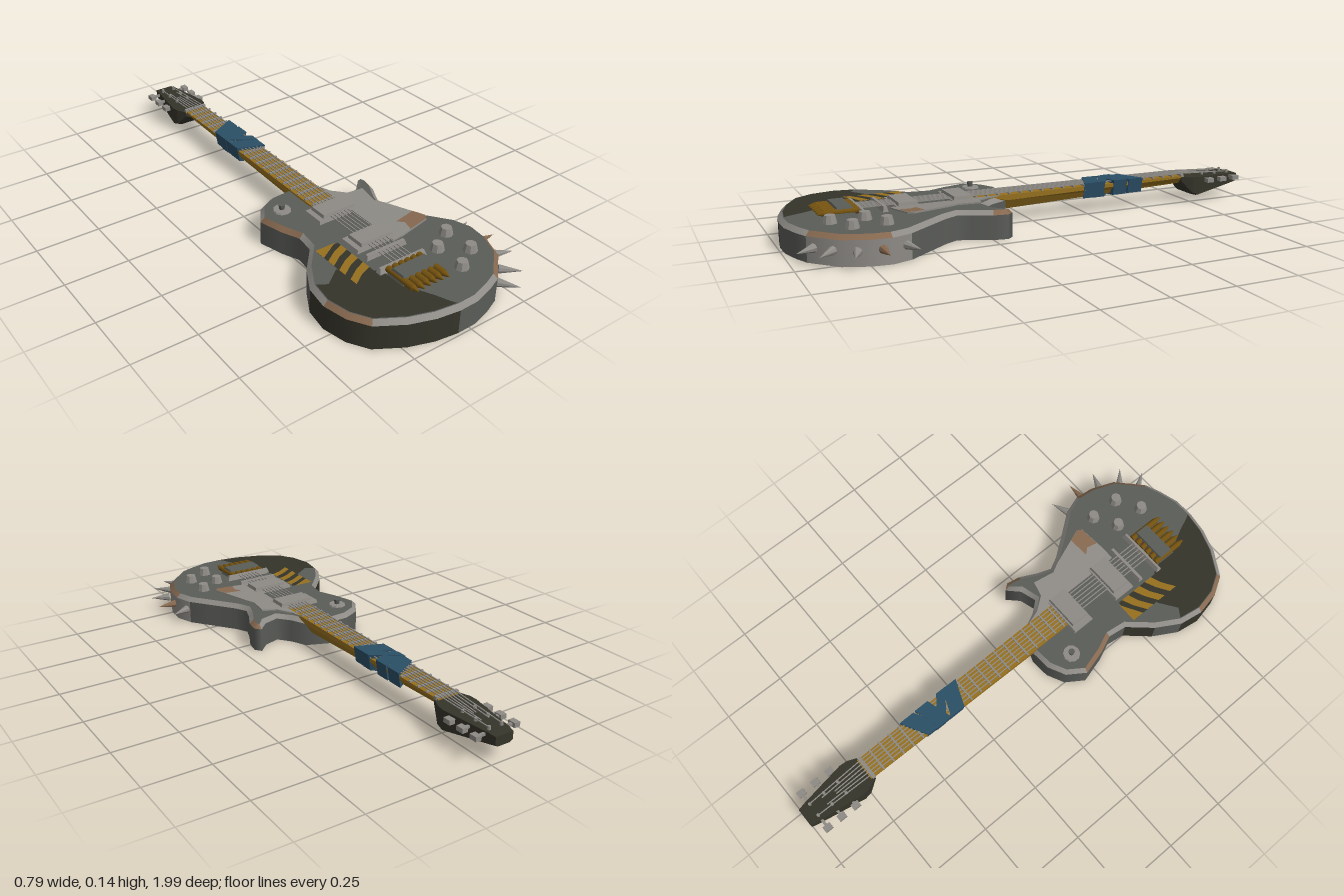
import * as THREE from 'three';

const mat = (name, color, side = THREE.FrontSide) => {
  const m = new THREE.MeshStandardMaterial({ color, side });
  m.name = name;
  return m;
};
const grey = mat('body grey', 0x5a5c58), olive = mat('dark olive', 0x35342a);
const steel = mat('worn steel', 0x8e8b86), rust = mat('rust brown', 0x86684f);
const gold = mat('dull gold', 0x96701f), brass = mat('dark brass', 0x74520f);
const blue = mat('blue tape', 0x2b4f66);

// Body outline (x, z), starting at the neck and going round by the model's right side
const OUTLINE = [
  [-0.10, 0.08], [-0.18, 0.085], [-0.25, 0.12], [-0.297, 0.19], [-0.27, 0.29], [-0.24, 0.36],
  [-0.25, 0.435], [-0.33, 0.525], [-0.385, 0.62], [-0.4, 0.715], [-0.38, 0.81], [-0.335, 0.885],
  [-0.235, 0.945], [-0.14, 0.977], [-0.05, 0.99], [0.03, 0.988], [0.11, 0.965], [0.17, 0.94],
  [0.27, 0.845], [0.307, 0.75], [0.315, 0.675], [0.29, 0.6], [0.23, 0.52], [0.16, 0.425],
  [0.135, 0.375], [0.155, 0.32], [0.19, 0.25], [0.2, 0.195], [0.18, 0.17], [0.135, 0.215],
  [0.07, 0.235], [0.03, 0.185], [0, 0.12],
];
const N = OUTLINE.length;
const NORMALS = OUTLINE.map((p, i) => {
  const edge = (a, b) => new THREE.Vector2(a[1] - b[1], b[0] - a[0]).normalize();
  return edge(OUTLINE[(i + N - 1) % N], p).add(edge(p, OUTLINE[(i + 1) % N])).normalize();
});
const inset = (d) => OUTLINE.map(([x, z], i) => [x - NORMALS[i].x * d, z - NORMALS[i].y * d]);

function add(group, name, geometry, material, x = 0, y = 0, z = 0) {
  const m = new THREE.Mesh(geometry, material);
  m.name = name;
  m.position.set(x, y, z);
  group.add(m);
  return m;
}
const box = (w, h, d) => new THREE.BoxGeometry(w, h, d);
const flat = (g) => {
  const f = g.toNonIndexed();
  f.computeVertexNormals();
  return f;
};
// Flat face or plate from (x, z) points
const shapeOf = (pts) => new THREE.Shape(pts.map(([x, z]) => new THREE.Vector2(x, -z)));
const face = (pts) => new THREE.ShapeGeometry(shapeOf(pts)).rotateX(-Math.PI / 2);
const plate = (pts, t) =>
  new THREE.ExtrudeGeometry(shapeOf(pts), { depth: t, bevelEnabled: false }).rotateX(-Math.PI / 2);
const underFace = (pts) =>
  new THREE.ShapeGeometry(new THREE.Shape(pts.map(([x, z]) => new THREE.Vector2(x, z)))).rotateX(Math.PI / 2);

// Ring of quads between two loops, with a material index for each segment
function ring(lower, y0, upper, y1, lift, pick) {
  const pos = [], nor = [], g = new THREE.BufferGeometry();
  for (let i = 0; i < N; i++) {
    const j = (i + 1) % N;
    for (const [k, top] of [[i, 0], [j, 0], [j, 1], [i, 0], [j, 1], [i, 1]]) {
      const p = top ? upper[k] : lower[k];
      pos.push(p[0], top ? y1 : y0, p[1]);
      const n = new THREE.Vector3(NORMALS[k].x, lift, NORMALS[k].y).normalize();
      nor.push(n.x, n.y, n.z);
    }
    g.addGroup(i * 6, 6, pick(i));
  }
  g.setAttribute('position', new THREE.Float32BufferAttribute(pos, 3));
  g.setAttribute('normal', new THREE.Float32BufferAttribute(nor, 3));
  return g;
}

function buildBody() {
  const g = new THREE.Group();
  g.name = 'body';
  const top = inset(0.017);
  const side = (i) => (i === 6 || (i >= 8 && i <= 13) ? 1 : i >= 17 && i <= 20 ? 2 : 0);
  add(g, 'bodySide', ring(OUTLINE, 0, OUTLINE, 0.095, 0, side), [grey, olive, steel]);
  const worn = [3, 4, 9, 10, 17, 18, 19, 26, 27];
  add(g, 'bodyRim', ring(OUTLINE, 0.095, top, 0.112, 1, (i) => (worn.includes(i) ? 1 : 0)), [steel, rust]);
  add(g, 'bodyTop', face(top), grey, 0, 0.112);
  add(g, 'bodyBack', underFace(OUTLINE), grey);
  // Dark paint patches on the top and back
  add(g, 'darkPatch', face([...inset(0.02).slice(8, 15), [-0.06, 0.95], [-0.08, 0.9], [-0.13, 0.8],
    [-0.14, 0.7], [-0.2, 0.63], [-0.26, 0.6], [-0.33, 0.65]]), olive, 0, 0.1132);
  add(g, 'backPatch', underFace([[-0.24, 0.36], [-0.25, 0.435], [-0.33, 0.525], [-0.24, 0.53],
    [-0.16, 0.46], [-0.12, 0.38], [-0.16, 0.32], [-0.255, 0.3]]), olive, 0, -0.0008);
  // Warning stripes
  add(g, 'stripePanel', face([[-0.255, 0.48], [-0.255, 0.7], [-0.16, 0.7], [-0.16, 0.48]]), olive, 0, 0.1142);
  for (let i = 0; i < 4; i++) {
    const z = 0.475 + i * 0.062;
    const pts = i === 0
      ? [[-0.255, 0.475], [-0.255, 0.525], [-0.17, 0.475]]
      : [[-0.255, z + 0.012], [-0.255, z + 0.045], [-0.205, z + 0.012], [-0.16, z - 0.005], [-0.16, z - 0.04], [-0.205, z - 0.02]];
    add(g, 'stripe', face(pts), gold, 0, 0.115);
  }
  return g;
}

// Loft of (x, y) loops placed along z
function loft(sections) {
  const pos = [], idx = [], n = sections[0].pts.length;
  sections.forEach((s) => s.pts.forEach(([x, y]) => pos.push(x, y, s.z)));
  for (let s = 0; s < sections.length - 1; s++)
    for (let i = 0; i < n; i++) {
      const a = s * n + i, b = s * n + ((i + 1) % n);
      idx.push(a, b, b + n, a, b + n, a + n);
    }
  const last = (sections.length - 1) * n;
  for (let i = 1; i < n - 1; i++) idx.push(0, i + 1, i, last, last + i, last + i + 1);
  const g = new THREE.BufferGeometry();
  g.setAttribute('position', new THREE.Float32BufferAttribute(pos, 3));
  g.setIndex(idx);
  return flat(g);
}

function buildNeck() {
  const g = new THREE.Group();
  g.name = 'neck';
  g.position.x = -0.048;
  const cut = (z, w, top, bottom) => ({
    z, pts: [[-w, top], [-w, (top + bottom) / 2 + 0.008], [-w * 0.55, bottom], [w * 0.55, bottom],
      [w, (top + bottom) / 2 + 0.008], [w, top]],
  });
  add(g, 'neckBar', loft([cut(-0.72, 0.046, 0.115, 0.082), cut(0.1, 0.052, 0.119, 0.058), cut(0.262, 0.053, 0.12, 0.1)]), gold);
  for (let i = 0; i < 20; i++) add(g, 'fret', box(0.1, 0.006, 0.007), steel, 0, 0.119 + i * 0.0002, -0.66 + i * 0.0475);
  add(g, 'nut', box(0.1, 0.014, 0.014), steel, 0, 0.116, -0.708);
  // Headstock
  const head = (z, w, top, bottom) => ({ z, pts: [[-w, top], [-w, bottom + 0.008], [-w * 0.7, bottom],
    [w * 0.7, bottom], [w, bottom + 0.008], [w, top]] });
  add(g, 'headstock', loft([head(-1, 0.038, 0.1, 0.062), head(-0.97, 0.044, 0.104, 0.056), head(-0.78, 0.073, 0.109, 0.025),
    head(-0.75, 0.07, 0.11, 0.034), head(-0.705, 0.05, 0.111, 0.085)]), olive);
  // Tuners
  for (const s of [-1, 1])
    for (let i = 0; i < 3; i++) {
      const z = -0.955 + i * 0.065, y = 0.094;
      add(g, 'tunerStem', box(0.05, 0.01, 0.01), steel, s * 0.062, y, z);
      add(g, 'tunerKey', box(0.024, 0.018, 0.032), steel, s * 0.084, y, z);
      add(g, 'tunerPost', new THREE.CylinderGeometry(0.006, 0.007, 0.014, 6), steel, s * 0.027, 0.111, z);
    }
  // Strings
  const string = (a, b) => {
    const d = new THREE.Vector3().subVectors(b, a);
    const m = add(g, 'string', box(0.004, 0.003, d.length()), steel);
    m.position.addVectors(a, b).multiplyScalar(0.5);
    m.quaternion.setFromUnitVectors(new THREE.Vector3(0, 0, 1), d.normalize());
  };
  for (let i = 0; i < 6; i++) {
    const t = i - 2.5, nut = new THREE.Vector3(t * 0.014, 0.124, -0.708);
    string(nut, new THREE.Vector3(t * 0.0165, 0.128, 0.7));
    string(new THREE.Vector3(t * 0.011, 0.112, -0.955 + Math.min(i, 5 - i) * 0.05), nut);
  }
  // Tape wrapped around the neck
  for (const [z, slope, w, e] of [[-0.445, -0.55, 0.066, 0], [-0.385, -0.3, 0.062, 0.002],
    [-0.285, 0.4, 0.066, 0.003], [-0.345, 0.75, 0.045, 0.005]]) {
    const b = box(0.106 + e, 0.062 + e, w), p = b.attributes.position;
    for (let i = 0; i < p.count; i++) {
      p.setZ(i, p.getZ(i) + slope * p.getX(i));
      if (p.getY(i) < 0) p.setX(i, p.getX(i) * 0.8);
    }
    add(g, 'tapeBand', flat(b), blue, 0, 0.098, z);
  }
  return g;
}

// Box with a narrower top
function taperBox(w, h, d, k) {
  const g = box(w, h, d), p = g.attributes.position;
  for (let i = 0; i < p.count; i++)
    if (p.getY(i) > 0) {
      p.setX(i, p.getX(i) - Math.sign(p.getX(i)) * k);
      p.setZ(i, p.getZ(i) - Math.sign(p.getZ(i)) * k);
    }
  return flat(g);
}

function buildHardware() {
  const g = new THREE.Group();
  g.name = 'hardware';
  // Tilted pickguard with a rusty corner
  const tilt = (geo) => {
    const p = geo.attributes.position;
    for (let i = 0; i < p.count; i++) p.setY(i, p.getY(i) + 0.115 + 0.11 * Math.max(p.getX(i), 0));
    geo.computeVertexNormals();
    return geo;
  };
  add(g, 'pickguard', tilt(plate([[0.004, 0.15], [0.004, 0.59], [0.05, 0.59], [0.172, 0.575], [0.183, 0.555],
    [0.125, 0.4], [0.105, 0.36], [0.12, 0.27], [0.06, 0.255], [0.02, 0.2]], 0.006)), steel);
  add(g, 'pickguardRust', tilt(face([[0.08, 0.515], [0.1, 0.54], [0.09, 0.583], [0.172, 0.574], [0.182, 0.555], [0.165, 0.507]])), rust, 0, 0.007);
  // Pickups
  for (const z of [0.305, 0.525]) {
    add(g, 'pickupFrame', taperBox(0.175, 0.014, 0.098, 0.004), steel, -0.058, 0.118, z);
    add(g, 'pickupCover', taperBox(0.148, 0.02, 0.08, 0.004), steel, -0.048, 0.128, z);
  }
  // Bridge bars, tailpiece and its round-nosed pegs
  add(g, 'bridgeBar', taperBox(0.18, 0.02, 0.022, 0.005), steel, -0.055, 0.121, 0.615);
  add(g, 'tailBar', taperBox(0.212, 0.022, 0.026, 0.008), steel, -0.055, 0.122, 0.702);
  add(g, 'tailpiece', taperBox(0.166, 0.032, 0.08, 0.012), grey, -0.055, 0.128, 0.764);
  for (let i = 0; i < 6; i++) {
    const x = -0.124 + i * 0.0275;
    add(g, 'pegShell', new THREE.CylinderGeometry(0.0125, 0.0125, 0.13, 8).rotateX(Math.PI / 2), brass, x, 0.126, 0.775);
    add(g, 'pegTip', new THREE.CylinderGeometry(0.003, 0.0115, 0.024, 8).rotateX(Math.PI / 2), brass, x, 0.126, 0.852);
  }
  // Knobs and switch
  for (const [x, z] of [[0.101, 0.712], [0.193, 0.658], [0.193, 0.782], [0.098, 0.838]])
    add(g, 'knob', flat(new THREE.CylinderGeometry(0.02, 0.027, 0.03, 8)), steel, x, 0.127, z);
  add(g, 'switchPlate', flat(new THREE.CylinderGeometry(0.033, 0.036, 0.006, 10)), steel, -0.2, 0.115, 0.19);
  add(g, 'switchKnob', flat(new THREE.CylinderGeometry(0.013, 0.01, 0.02, 8)), grey, -0.2, 0.127, 0.19);
  // Spikes along the lower edge
  const spikes = [[0.295, 0.62, 0.373, 0.59], [0.31, 0.708, 0.392, 0.707], [0.3, 0.795, 0.373, 0.822],
    [0.252, 0.868, 0.315, 0.928], [0.193, 0.92, 0.24, 0.99]];
  spikes.forEach(([x0, z0, x1, z1], i) => {
    const d = new THREE.Vector3(x1 - x0, 0, z1 - z0), len = d.length();
    const m = add(g, 'spike', flat(new THREE.ConeGeometry(0.017, len, 8)), i === 1 ? rust : steel,
      (x0 + x1) / 2, 0.057, (z0 + z1) / 2);
    m.quaternion.setFromUnitVectors(new THREE.Vector3(0, 1, 0), d.normalize());
  });
  return g;
}

export function createModel() {
  const model = new THREE.Group();
  model.name = 'guitar';
  model.add(buildBody(), buildNeck(), buildHardware());
  return model;
}
